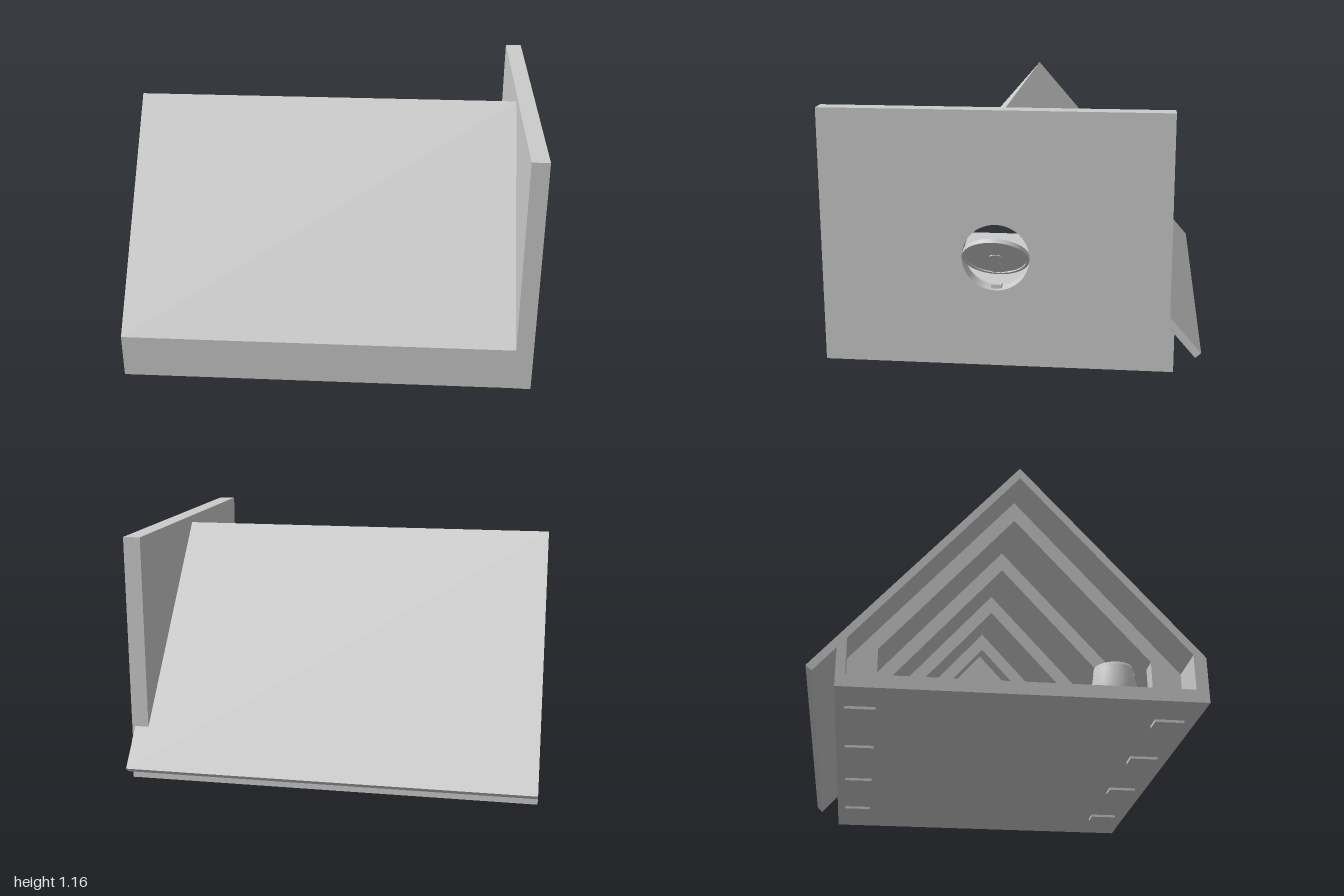
import * as THREE from 'three';

const material = new THREE.MeshStandardMaterial({ color: 0xcccccc, side: THREE.DoubleSide });
const SLOPE = 1.155;      // rise of the roof per unit of depth
const MID = 0.05;         // depth of the ridge line
const BASE = 0.012;       // underside of the floor
const roofY = z => 1.127 - Math.abs(z - MID) * SLOPE;

function add(parent, name, geometry) {
  const mesh = new THREE.Mesh(geometry, material);
  mesh.name = name;
  parent.add(mesh);
  return mesh;
}

function box(parent, name, x0, x1, y0, y1, z0, z1) {
  const mesh = add(parent, name, new THREE.BoxGeometry(x1 - x0, y1 - y0, z1 - z0));
  mesh.position.set((x0 + x1) / 2, (y0 + y1) / 2, (z0 + z1) / 2);
  return mesh;
}

// Shape from [z, y] corners
const outline = points => new THREE.Shape(points.map(p => new THREE.Vector2(...p)));

function disc(z, y, r) {
  const shape = new THREE.Shape();
  shape.absarc(z, y, r, 0, Math.PI * 2);
  return shape;
}

// Extrudes a (z, y) shape along x from x0 to x1
function slab(parent, name, shape, x0, x1) {
  const g = new THREE.ExtrudeGeometry(shape, { depth: x1 - x0, bevelEnabled: false, curveSegments: 32 });
  g.rotateY(-Math.PI / 2);
  g.translate(x1, 0, 0);
  return add(parent, name, g);
}

function buildFrame(x) {
  // Posts and rafters as one A-shaped outline with feet under the floor
  const t = 0.052, inner = 0.15;
  const half = [[0.73, 0], [0.73, roofY(MID + 0.73) - t], [0, roofY(MID) - t]];
  const under = [[0, roofY(MID) - inner], [0.6, roofY(MID + 0.6) - inner], [0.6, 0]];
  const right = p => [MID + p[0], p[1]];
  const left = p => [MID - p[0], p[1]];
  const points = [
    ...half.map(right),
    ...half.slice(0, 2).reverse().map(left),
    ...under.slice(1).reverse().map(left),
    ...under.map(right),
  ];
  const frame = new THREE.Group();
  frame.name = 'roofFrame';
  slab(frame, 'postsAndRafters', outline(points), x - 0.04, x + 0.04);
  return frame;
}

function buildBarrel() {
  const barrel = new THREE.Group();
  barrel.name = 'barrel';
  const H = 0.29;
  const radius = y => 0.086 + 0.02 * Math.sin(Math.PI * y / H);
  // Bulging staves, ending in a rim around a sunken lid
  const profile = [new THREE.Vector2(0, 0)];
  for (let i = 0; i <= 10; i++) profile.push(new THREE.Vector2(radius(i * H / 10), i * H / 10));
  add(barrel, 'staves', new THREE.LatheGeometry(profile, 28));
  const lid = add(barrel, 'lid', new THREE.CylinderGeometry(0.08, 0.08, 0.01, 28));
  lid.position.y = H - 0.02;
  const rim = [[0.076, H - 0.02], [0.076, H], [0.09, H], [0.09, H - 0.02]];
  add(barrel, 'rim', new THREE.LatheGeometry(rim.map(p => new THREE.Vector2(...p)), 28));
  // Hoops
  for (const y of [0.01, 0.08, 0.19, 0.255]) {
    const h = 0.022;
    const hoop = add(barrel, 'hoop',
      new THREE.CylinderGeometry(radius(y + h) + 0.003, radius(y) + 0.003, h, 28, 1, true));
    hoop.position.y = y + h / 2;
  }
  barrel.position.set(-0.545, 0.07, 0.54);
  return barrel;
}

function buildWindow() {
  // Round pivoting window, tipped outwards at the top
  const win = new THREE.Group();
  win.name = 'pivotWindow';
  const ring = disc(0, 0, 0.147);
  ring.holes.push(disc(0, 0, 0.134));
  slab(win, 'windowRim', ring, -0.01, 0.01);
  slab(win, 'pane', disc(0, 0, 0.136), -0.004, 0.004);
  slab(win, 'hub', disc(0, 0, 0.03), -0.009, 0.009);
  for (const s of [1, -1]) {
    slab(win, 'spoke', outline([[-0.01, s * 0.02], [0.01, s * 0.02], [0.028, s * 0.135], [-0.028, s * 0.135]]),
      -0.007, 0.007);
  }
  win.position.set(0.887, 0.512, 0.063);
  win.rotation.z = -Math.PI / 4;
  return win;
}

export function createModel() {
  const model = new THREE.Group();
  model.name = 'attic';

  // Floor and low side walls
  box(model, 'floor', -1, 0.9, BASE, 0.07, -0.72, 0.83);
  slab(model, 'frontKneeWall',
    outline([[0.78, BASE], [0.835, BASE], [0.835, 0.215], [0.78, 0.23]]), -1, 0.9);
  slab(model, 'backKneeWall',
    outline([[-0.72, BASE], [-0.68, BASE], [-0.68, roofY(-0.68) - 0.045], [-0.72, roofY(-0.72) - 0.045]]), -1, 0.9);

  // End wall with a round opening
  const wall = outline([[-0.7, BASE], [0.837, BASE], [0.837, 1.162], [-0.7, 1.162]]);
  wall.holes.push(disc(0.063, 0.512, 0.149));
  slab(model, 'endWall', wall, 0.822, 0.902);
  box(model, 'windowStop', 0.84, 0.88, 0.362, 0.382, 0.04, 0.086);

  // Roof slopes, the back one overhanging as eaves
  const t = 0.052;
  slab(model, 'frontRoof', outline([
    [MID, roofY(MID) - t], [MID, roofY(MID)],
    [0.835, roofY(0.835)], [0.835, roofY(0.835) - t]]), -1, 0.822);
  slab(model, 'backRoof', outline([
    [MID, roofY(MID) - t], [MID, roofY(MID)],
    [-0.84, roofY(-0.84)], [-0.814, roofY(-0.84) - 0.0225]]), -1, 0.887);

  // Timber frames
  for (let i = 0; i < 4; i++) model.add(buildFrame(-0.76 + i * 0.455));

  model.add(buildWindow(), buildBarrel());
  return model;
}
